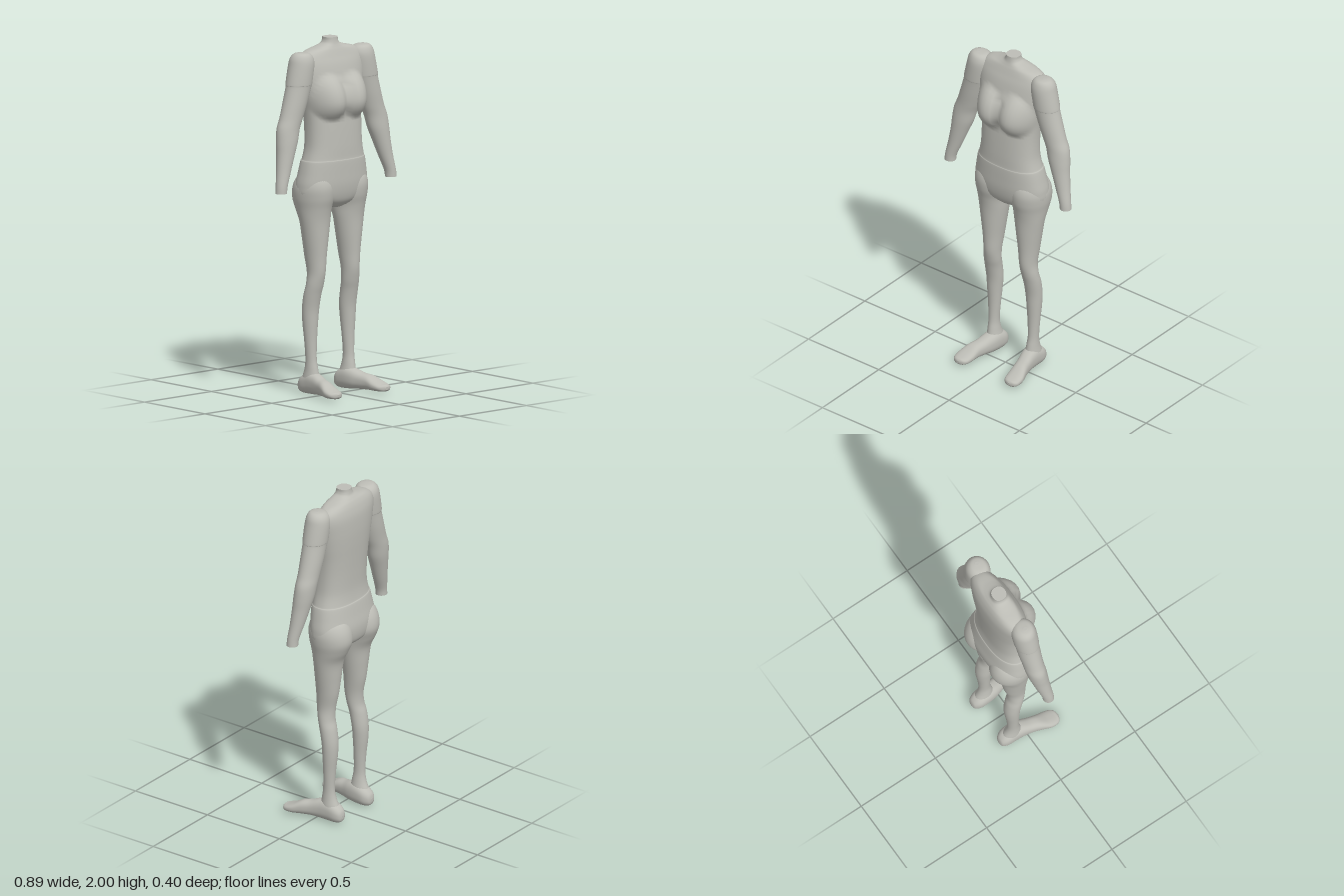
import * as THREE from 'three';

const SIDES = 48;
const STEPS = 6;

// Catmull-Rom blend of four numbers
function blend(a, b, c, d, t) {
  return b + 0.5 * t * (c - a + t * (2 * a - 5 * b + 4 * c - d + t * (3 * (b - c) + d - a)));
}

// Smoothly fills in rings between the given rows
function refine(rows) {
  const out = [];
  const at = (i) => rows[Math.min(rows.length - 1, Math.max(0, i))];
  for (let i = 0; i < rows.length - 1; i++) {
    for (let s = 0; s < STEPS; s++) {
      out.push(rows[i].map((_, k) => blend(at(i - 1)[k], at(i)[k], at(i + 1)[k], at(i + 2)[k], s / STEPS)));
    }
  }
  out.push(rows[rows.length - 1]);
  return out;
}

// Skin through rounded sections. Each row: [position, u0, u1, v0, v1].
// Upright parts run top to bottom (u = x, v = z); along z they run back to front (u = x, v = y).
function loft(rows, { power = 2, alongZ = false, shape = null } = {}) {
  const rings = refine(rows);
  const pos = [];
  const index = [];
  const put = (u, p, v) => pos.push(...(alongZ ? [u, v, p] : [u, p, v]));
  const curve = (n) => Math.sign(n) * Math.abs(n) ** (2 / power);
  const addRing = ([p, u0, u1, v0, v1]) => {
    for (let j = 0; j < SIDES; j++) {
      const a = (j / SIDES) * Math.PI * 2;
      const u = (u0 + u1) / 2 + ((u1 - u0) / 2) * curve(Math.cos(a));
      let v = (v0 + v1) / 2 + ((v1 - v0) / 2) * curve(Math.sin(a));
      if (shape) v += shape(u, p, Math.sin(a));
      put(u, p, v);
    }
  };
  rings.forEach(addRing);
  for (let i = 0; i < rings.length - 1; i++) {
    for (let j = 0; j < SIDES; j++) {
      const k = (j + 1) % SIDES;
      const a = i * SIDES + j, b = i * SIDES + k;
      index.push(a, b, a + SIDES, b, b + SIDES, a + SIDES);
    }
  }
  // flat end caps with their own corners
  [rings[0], rings[rings.length - 1]].forEach((ring, end) => {
    const start = pos.length / 3;
    addRing(ring);
    put((ring[1] + ring[2]) / 2, ring[0], (ring[3] + ring[4]) / 2);
    for (let j = 0; j < SIDES; j++) {
      const a = start + j, b = start + ((j + 1) % SIDES);
      index.push(...(end ? [a, b, start + SIDES] : [b, a, start + SIDES]));
    }
  });
  const geo = new THREE.BufferGeometry();
  geo.setAttribute('position', new THREE.Float32BufferAttribute(pos, 3));
  geo.setIndex(index);
  geo.computeVertexNormals();
  return geo;
}

function mirrored(geo) {
  const g = geo.clone().scale(-1, 1, 1);
  const ix = g.index.array;
  for (let i = 0; i < ix.length; i += 3) [ix[i], ix[i + 1]] = [ix[i + 1], ix[i]];
  g.computeVertexNormals();
  return g;
}

export function createModel() {
  const model = new THREE.Group();
  model.name = 'headlessFigure';
  const clay = new THREE.MeshStandardMaterial({ color: 0xbdbdb6 });
  clay.name = 'warm grey';

  const add = (name, geo) => {
    const mesh = new THREE.Mesh(geo, clay);
    mesh.name = name;
    model.add(mesh);
  };
  const addPair = (name, geo) => {
    add('left' + name, geo);
    add('right' + name, mirrored(geo));
  };

  // Torso with neck: [y, half width, back z, front z]
  const torso = [
    [2.0, 0.041, -0.113, -0.032],
    [1.982, 0.043, -0.115, -0.03],
    [1.965, 0.056, -0.12, -0.026],
    [1.95, 0.1, -0.132, -0.02],
    [1.932, 0.17, -0.145, -0.012],
    [1.9, 0.215, -0.158, 0.0],
    [1.85, 0.225, -0.168, 0.018],
    [1.77, 0.215, -0.17, 0.036],
    [1.69, 0.202, -0.167, 0.045],
    [1.6, 0.188, -0.161, 0.05],
    [1.5, 0.182, -0.155, 0.056],
    [1.4, 0.185, -0.152, 0.06],
    [1.33, 0.2, -0.158, 0.061],
    [1.315, 0.208, -0.164, 0.064],
    [1.25, 0.222, -0.175, 0.064],
    [1.18, 0.234, -0.186, 0.062],
    [1.12, 0.226, -0.182, 0.052],
    [1.08, 0.15, -0.165, 0.035],
    [1.05, 0.05, -0.12, 0.0],
    [1.043, 0.01, -0.08, -0.03],
  ].map(([y, w, b, f]) => [y, -w, w, b, f]);
  // Bust swells the front of the torso
  const bust = (x, y, facing) => {
    if (facing <= 0) return 0;
    const d = ((Math.abs(x) - 0.088) / 0.108) ** 2 + ((y - 1.655) / (y > 1.655 ? 0.15 : 0.105)) ** 2;
    return d < 1 ? 0.066 * (1 - d) ** 0.85 * Math.min(1, facing * 3) : 0;
  };
  add('torso', loft(torso, { power: 2.35, shape: bust }));

  // Arms: [y, inner x, outer x, back z, front z]
  addPair('Arm', loft([
    [1.937, 0.225, 0.245, -0.07, -0.045],
    [1.93, 0.18, 0.272, -0.1, -0.015],
    [1.905, 0.155, 0.292, -0.122, 0.002],
    [1.86, 0.15, 0.304, -0.13, 0.01],
    [1.765, 0.165, 0.325, -0.127, 0.01],
    [1.75, 0.17, 0.325, -0.123, 0.007],
    [1.66, 0.2, 0.35, -0.12, 0.004],
    [1.58, 0.23, 0.375, -0.115, 0.0],
    [1.52, 0.255, 0.398, -0.113, 0.0],
    [1.45, 0.275, 0.407, -0.106, 0.004],
    [1.38, 0.303, 0.412, -0.093, 0.005],
    [1.29, 0.338, 0.424, -0.075, 0.006],
    [1.21, 0.37, 0.438, -0.058, 0.009],
    [1.168, 0.377, 0.443, -0.055, 0.01],
  ]));

  // Legs, whose tops form the hips and seat
  addPair('Leg', loft([
    [1.25, 0.06, 0.17, -0.14, 0.02],
    [1.22, 0.025, 0.215, -0.172, 0.045],
    [1.17, 0.01, 0.234, -0.195, 0.057],
    [1.11, 0.01, 0.234, -0.2, 0.052],
    [1.05, 0.027, 0.224, -0.178, 0.037],
    [0.98, 0.037, 0.213, -0.145, 0.026],
    [0.88, 0.052, 0.198, -0.132, 0.02],
    [0.78, 0.067, 0.184, -0.12, 0.014],
    [0.69, 0.077, 0.176, -0.102, 0.01],
    [0.62, 0.081, 0.183, -0.1, -0.003],
    [0.56, 0.086, 0.188, -0.115, -0.018],
    [0.48, 0.089, 0.188, -0.126, -0.033],
    [0.4, 0.096, 0.184, -0.124, -0.038],
    [0.3, 0.104, 0.176, -0.113, -0.042],
    [0.2, 0.11, 0.17, -0.108, -0.04],
    [0.14, 0.104, 0.172, -0.117, -0.03],
    [0.08, 0.094, 0.178, -0.14, -0.02],
    [0.04, 0.1, 0.172, -0.14, -0.03],
  ]));

  // Feet from heel to toe: [z, inner x, outer x, bottom y, top y]
  addPair('Foot', loft([
    [-0.166, 0.125, 0.145, 0.03, 0.05],
    [-0.157, 0.105, 0.165, 0.01, 0.078],
    [-0.125, 0.088, 0.179, 0.001, 0.105],
    [-0.07, 0.086, 0.183, 0.001, 0.125],
    [-0.02, 0.093, 0.187, 0.004, 0.117],
    [0.03, 0.108, 0.196, 0.008, 0.1],
    [0.08, 0.12, 0.212, 0.008, 0.09],
    [0.13, 0.124, 0.228, 0.007, 0.066],
    [0.17, 0.132, 0.227, 0.009, 0.051],
    [0.19, 0.148, 0.213, 0.011, 0.046],
    [0.199, 0.172, 0.19, 0.02, 0.036],
  ], { power: 2.4, alongZ: true }));

  return model;
}
